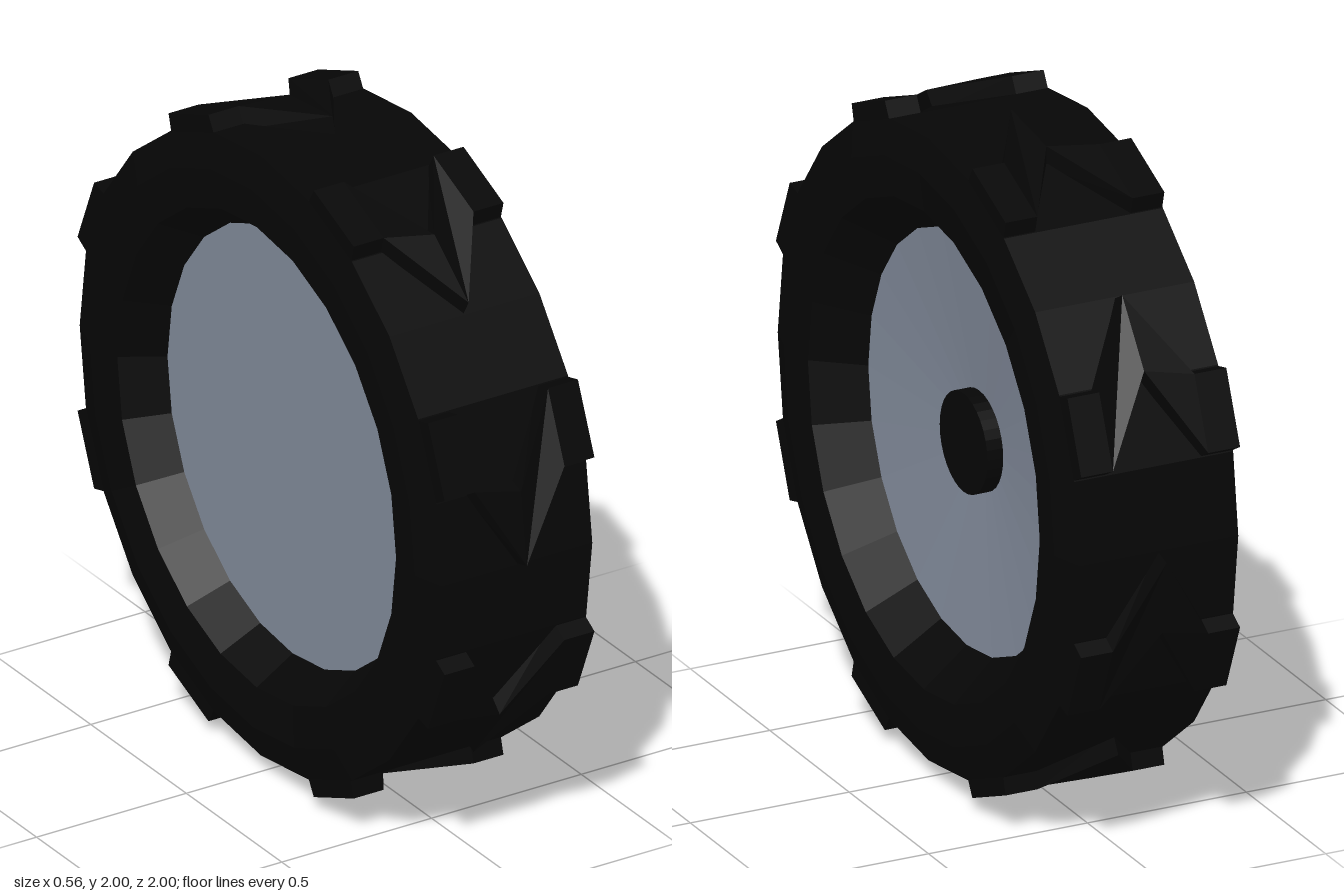
import * as THREE from 'three';

const SIDES = 24;
const rubber = new THREE.MeshStandardMaterial({ color: 0x060606, flatShading: true });
const metal = new THREE.MeshStandardMaterial({ color: 0x828b9b, flatShading: true });

function part(name, geometry, material) {
  const mesh = new THREE.Mesh(geometry, material);
  mesh.name = name;
  return mesh;
}

// Ring or disc turned around the x axis from [radius, x] points
function turned(name, points, material) {
  const profile = points.map(([r, x]) => new THREE.Vector2(r, x));
  const mesh = part(name, new THREE.LatheGeometry(profile, SIDES), material);
  mesh.rotation.z = -Math.PI / 2;
  return mesh;
}

// Chevron lug: a tapered four-cornered section swept across the tread, its tip at angle 0
function lugGeometry() {
  const step = (Math.PI * 2) / SIDES;
  const taper = Math.PI / 180;
  const stations = [[-0.25, step], [-0.15, step], [0, 0], [0.15, step], [0.25, step]];
  const positions = [];
  const indices = [];
  for (const [x, start] of stations) {
    const end = start + step;
    const section = [[0.935, start], [1, start + taper], [1, end - taper], [0.935, end]];
    for (const [r, a] of section) positions.push(x, r * Math.cos(a), -r * Math.sin(a));
  }
  for (let i = 0; i < stations.length - 1; i++) {
    for (let j = 0; j < 4; j++) {
      const a = i * 4 + j, b = a + 4;
      const d = i * 4 + ((j + 1) % 4), c = d + 4;
      indices.push(a, b, c, a, c, d);
    }
  }
  const e = (stations.length - 1) * 4;
  indices.push(0, 1, 2, 0, 2, 3, e, e + 2, e + 1, e, e + 3, e + 2);
  const geometry = new THREE.BufferGeometry();
  geometry.setAttribute('position', new THREE.Float32BufferAttribute(positions, 3));
  geometry.setIndex(indices);
  geometry.computeVertexNormals();
  return geometry;
}

export function createModel() {
  const model = new THREE.Group();
  model.name = 'wheel';
  const wheel = new THREE.Group();
  wheel.name = 'wheelAssembly';
  wheel.position.y = 1;
  model.add(wheel);

  // Tyre carcass from the right lip, over the tread, to the left lip
  wheel.add(turned('tyre', [
    [0.655, -0.145], [0.73, -0.265], [0.85, -0.28], [0.95, -0.25],
    [0.95, 0.25], [0.85, 0.28], [0.73, 0.265], [0.62, 0.13],
  ], rubber));

  // Tread lugs
  const lug = lugGeometry();
  for (let i = 0; i < 8; i++) {
    const mesh = part('treadLug', lug, rubber);
    mesh.rotation.x = (i * Math.PI) / 4;
    wheel.add(mesh);
  }

  // Rim disc, flat on the right and slightly dished towards the hub on the left
  wheel.add(turned('rimDisc', [
    [0, -0.145], [0.655, -0.145], [0.62, 0.13], [0.15, 0.09], [0, 0.09],
  ], metal));

  // Hub cap on the left side only
  const hub = part('hub', new THREE.CylinderGeometry(0.15, 0.15, 0.07, 32), rubber);
  hub.rotation.z = -Math.PI / 2;
  hub.position.x = 0.105;
  wheel.add(hub);

  return model;
}
